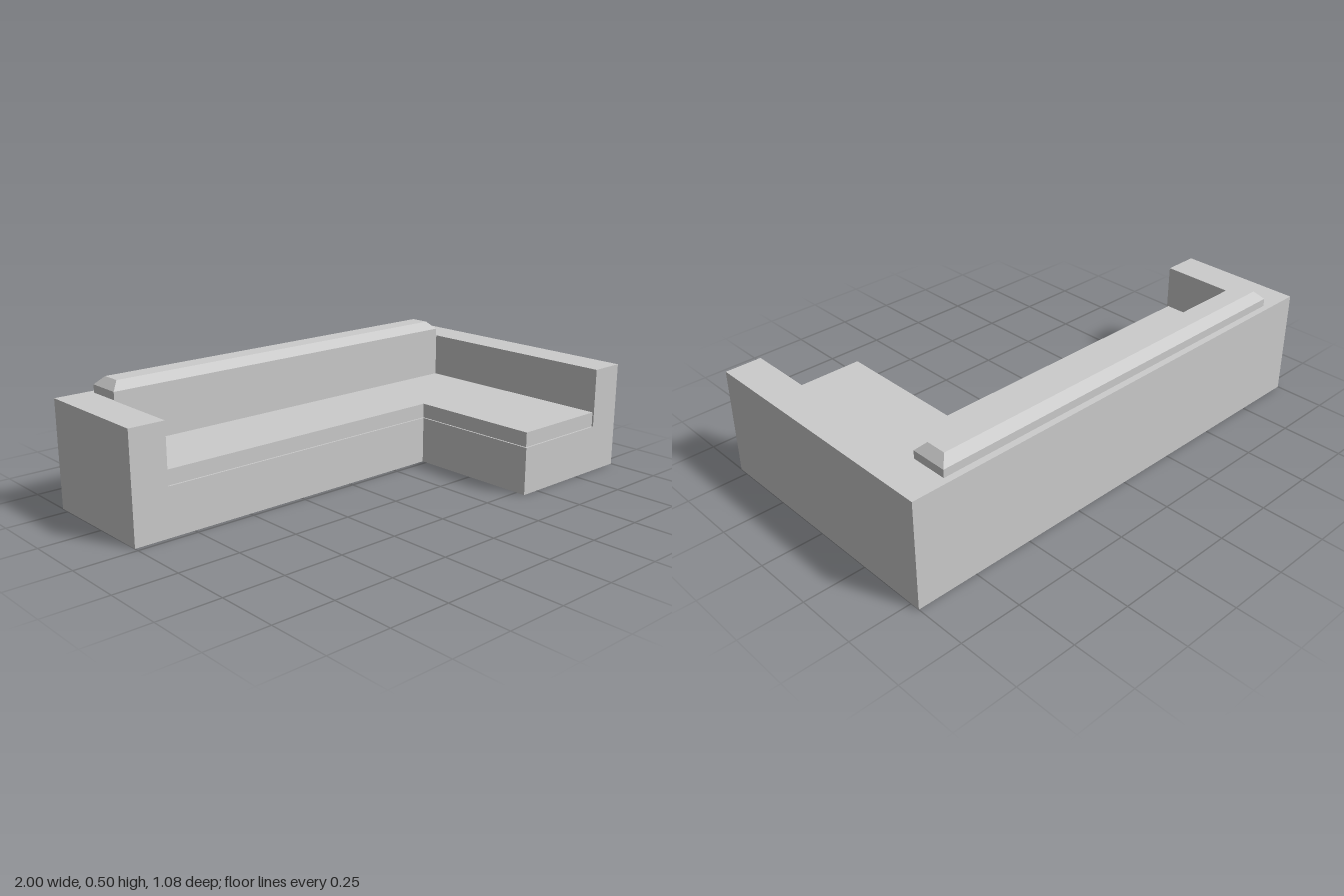
import * as THREE from 'three';

const material = new THREE.MeshStandardMaterial({ color: 0xcccccc, flatShading: true });

const X = 1, Z = 0.54;             // outer half sizes
const INNER = 0.853;               // inner faces of the arms
const CHAISE = 0.423, FRONT = -0.02; // inner corner of the L
const BASE = 0.195, SEAT = 0.255, ARM = 0.437;
const BACK = -0.365;               // front of the backrest

function add(group, name, geometry) {
  const mesh = new THREE.Mesh(geometry, material);
  mesh.name = name;
  group.add(mesh);
}

// Box given by its limits
function block(x0, x1, y0, y1, z0, z1) {
  return new THREE.BoxGeometry(x1 - x0, y1 - y0, z1 - z0)
    .translate((x0 + x1) / 2, (y0 + y1) / 2, (z0 + z1) / 2);
}

// L-shaped slab; inset pulls in the edges that face the open corner
function lSlab(x0, x1, z0, y0, y1, inset) {
  const corners = [
    [x0, z0], [x0, FRONT - inset], [CHAISE + inset, FRONT - inset],
    [CHAISE + inset, Z - inset], [x1, Z - inset], [x1, z0],
  ];
  const shape = new THREE.Shape(corners.map(([x, z]) => new THREE.Vector2(x, -z)));
  return new THREE.ExtrudeGeometry(shape, { depth: y1 - y0, bevelEnabled: false })
    .rotateX(-Math.PI / 2).translate(0, y0, 0);
}

// Straight-sided roll whose upper part tapers in on all four sides
function taperedRoll() {
  const width = 2 * 0.85, depth = 0.148, taper = 0.033;
  const geo = new THREE.BoxGeometry(width, 2, depth, 1, 2, 1).toNonIndexed();
  const p = geo.attributes.position;
  for (let i = 0; i < p.count; i++) {
    const row = Math.round(p.getY(i)) + 1;
    p.setY(i, [ARM, 0.469, 0.502][row]);
    if (row === 2) {
      p.setX(i, p.getX(i) - Math.sign(p.getX(i)) * taper);
      p.setZ(i, p.getZ(i) - Math.sign(p.getZ(i)) * taper);
    }
  }
  geo.computeVertexNormals();
  return geo.translate(0, 0, BACK - depth / 2);
}

export function createModel() {
  const sofa = new THREE.Group();
  sofa.name = 'cornerSofa';

  add(sofa, 'base', lSlab(-X, X, -Z, 0, BASE, 0));
  add(sofa, 'seatCushion', lSlab(-INNER, INNER, BACK, BASE, SEAT, 0.007));

  // Short arm on one side, long arm beside the chaise on the other
  add(sofa, 'rightArm', block(-X, -INNER, BASE, ARM, -Z, FRONT));
  add(sofa, 'leftArm', block(INNER, X, BASE, ARM, -Z, Z));

  add(sofa, 'backrest', block(-INNER, INNER, BASE, ARM, -Z, BACK));
  add(sofa, 'backRoll', taperedRoll());

  return sofa;
}
